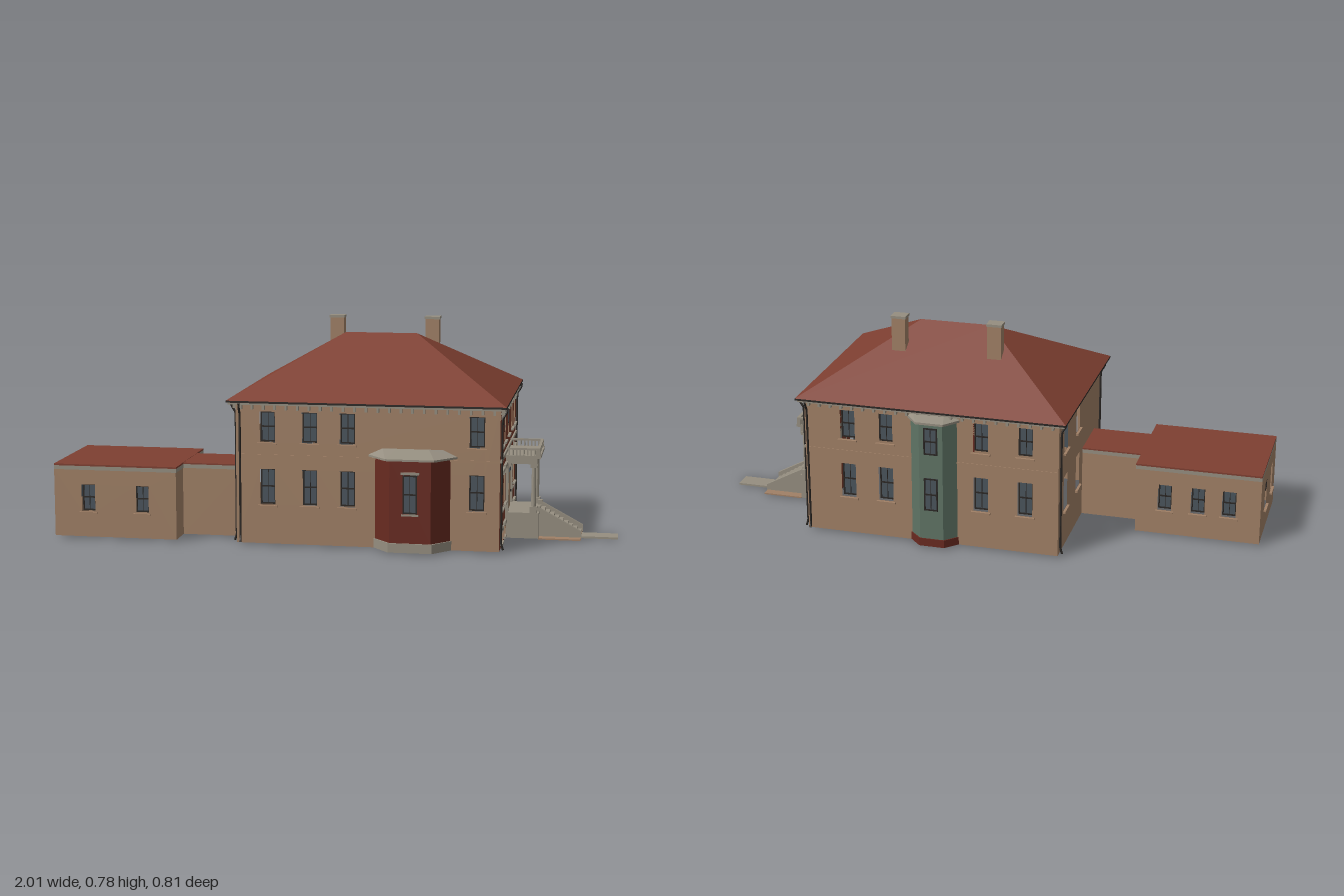
import * as THREE from 'three';

const mat = (name, color) => {
  const m = new THREE.MeshStandardMaterial({ color, side: THREE.DoubleSide, flatShading: true });
  m.name = name;
  return m;
};

export function createModel() {
  const tan = mat('tan wall', 0xa08066), brick = mat('brick red', 0x783b2b), roofRed = mat('roof red', 0x7e3f31);
  const stone = mat('grey stone', 0x958e80), bayRed = mat('dark red', 0x682a20), green = mat('green', 0x5f7465);
  const glass = mat('glass', 0x4a545c), dark = mat('dark trim', 0x2b2724);
  const model = new THREE.Group();
  model.name = 'house';

  const add = (parent, name, geo, m, x = 0, y = 0, z = 0) => {
    const mesh = new THREE.Mesh(geo, m);
    mesh.name = name;
    mesh.position.set(x, y, z);
    parent.add(mesh);
    return mesh;
  };
  // box given by its limits on each axis
  const box = (parent, name, m, x0, x1, y0, y1, z0, z1) => add(parent, name,
    new THREE.BoxGeometry(x1 - x0, y1 - y0, z1 - z0), m, (x0 + x1) / 2, (y0 + y1) / 2, (z0 + z1) / 2);

  // sash window centred on u, set at depth z in a wall's own frame
  function sashWindow(parent, u, y0, y1, w, z) {
    const g = new THREE.Group();
    g.name = 'window';
    g.position.set(u, 0, z);
    parent.add(g);
    const h = w / 2, t = 0.005, mid = (y0 + y1) / 2;
    box(g, 'glass', glass, -h, h, y0, y1, -0.002, 0);
    for (const s of [-1, 1]) box(g, 'sashSide', dark, s * (h - t / 2) - t / 2, s * (h - t / 2) + t / 2, y0, y1, 0, 0.003);
    for (const y of [y0, mid - t / 2, y1 - t]) box(g, 'sashRail', dark, -h, h, y, y + t, 0, 0.003);
    box(g, 'muntin', dark, -0.001, 0.001, y0, y1, 0, 0.002);
  }

  // flat wall with window openings; it faces +z in its own frame
  function wall(name, m, u0, u1, y0, y1, pos, turn, openings, trim = m) {
    const g = new THREE.Group();
    g.name = name;
    g.position.set(...pos);
    g.rotation.y = turn;
    model.add(g);
    const rect = (P, a, b, c, d) => new P([[a, c], [b, c], [b, d], [a, d]].map(p => new THREE.Vector2(...p)));
    const shape = rect(THREE.Shape, u0, u1, y0, y1);
    for (const [u, a, b, w = 0.054] of openings) {
      shape.holes.push(rect(THREE.Path, u - w / 2, u + w / 2, a, b));
      sashWindow(g, u, a, b, w, -0.018);
      box(g, 'sill', trim, u - w / 2 - 0.008, u + w / 2 + 0.008, a - 0.009, a - 0.002, 0, 0.009);
    }
    add(g, 'wallFace', new THREE.ShapeGeometry(shape), m);
    return g;
  }

  // main house walls, open at the bottom
  const X0 = -0.33, X1 = 0.6, Z0 = -0.348, Z1 = 0.324, B = 0.007, T = 0.51;
  const rows = (us, w) => us.flatMap(u => [[u, 0.37, 0.478, w], [u, 0.147, 0.274, w]]);
  wall('frontWall', tan, X0, X1, B, T, [0, 0, Z1], 0, rows([-0.217, -0.067, 0.067, 0.52]));
  wall('backWall', tan, -X1, -X0, B, T, [0, 0, Z0], Math.PI, rows([-0.44, -0.3, 0.05, 0.21]));
  wall('leftEndWall', tan, Z0, Z1, B, T, [X0, 0, 0], -Math.PI / 2, rows([-0.24, -0.05]));
  const sides = [-0.246, -0.135, 0.161, 0.272];
  const street = wall('entranceWall', brick, -Z1, -Z0, B, T, [X1, 0, 0], Math.PI / 2,
    [...rows(sides), [0.013, 0.37, 0.478], ...sides.map(u => [u, 0.028, 0.062, 0.046])], stone);

  // stone lintels, string course and frames on the entrance side
  const lintel = (u, y) => {
    box(street, 'lintel', stone, u - 0.041, u + 0.041, y, y + 0.012, 0, 0.009);
    for (const s of [-1, 1]) box(street, 'lintelEar', stone, u + s * 0.034 - 0.006, u + s * 0.034 + 0.006, y - 0.016, y, 0, 0.008);
  };
  [...sides, 0.013].forEach(u => lintel(u, 0.48));
  for (const u of sides) {
    lintel(u, 0.275);
    box(street, 'basementLintel', stone, u - 0.034, u + 0.034, 0.066, 0.08, 0, 0.008);
    for (const s of [-1, 1]) box(street, 'basementFrame', tan, u + s * 0.025 - 0.002, u + s * 0.025 + 0.002, 0.026, 0.066, 0, 0.005);
  }
  box(street, 'stringCourse', stone, -Z1, -Z0, 0.319, 0.33, 0, 0.006);
  for (const [z, a] of [[Z1 + 0.001, 0], [Z0 - 0.001, Math.PI]]) {
    const line = box(model, 'stringLine', tan, X0, X1, 0.319, 0.326, z - 0.001, z + 0.001);
    line.rotation.y = a;
  }

  // hipped roof, eaves and gutter
  const ex0 = -0.36, ex1 = 0.622, ez0 = -0.382, ez1 = 0.35, ey = 0.517;
  const c = [[ex0, ey, ez1], [ex1, ey, ez1], [ex1, ey, ez0], [ex0, ey, ez0], [0.005, 0.726, -0.015], [0.265, 0.726, -0.015]];
  const faces = [0, 1, 5, 0, 5, 4, 1, 2, 5, 2, 3, 4, 2, 4, 5, 3, 0, 4];
  const hip = new THREE.BufferGeometry();
  hip.setAttribute('position', new THREE.Float32BufferAttribute(faces.flatMap(i => c[i]), 3));
  hip.computeVertexNormals();
  add(model, 'hipRoof', hip, roofRed);
  box(model, 'soffit', stone, ex0 + 0.006, ex1 - 0.006, 0.503, 0.51, ez0 + 0.006, ez1 - 0.006);
  box(model, 'gutter', dark, ex0, ex1, 0.51, ey, ez0, ez1);
  // eave brackets
  for (let i = 0; i <= 22; i++) {
    const x = X0 + 0.02 + (X1 - X0 - 0.04) * i / 22;
    box(model, 'bracket', stone, x - 0.004, x + 0.004, 0.486, 0.503, Z1, Z1 + 0.015);
    box(model, 'bracket', stone, x - 0.004, x + 0.004, 0.486, 0.503, Z0 - 0.015, Z0);
  }
  for (let i = 0; i <= 16; i++) {
    const z = Z0 + 0.02 + (Z1 - Z0 - 0.04) * i / 16;
    box(model, 'bracket', stone, X1, X1 + 0.013, 0.486, 0.503, z - 0.004, z + 0.004);
    box(model, 'bracket', stone, X0 - 0.015, X0, 0.486, 0.503, z - 0.004, z + 0.004);
  }

  // downpipes; (dx, dz) points away from the wall
  for (const [x, z, dx, dz] of [[X0, 0.302, -1, 0], [X1, 0.302, 1, 0], [X1, -0.34, 1, 0], [X0, -0.33, -1, 0], [-0.315, Z1, 0, 1], [0.59, Z0, 0, -1]]) {
    const pts = [[0.022, 0.508], [0.02, 0.492], [0.006, 0.472], [0.005, 0.45], [0.005, 0.03], [0.012, 0.01]]
      .map(([d, y]) => new THREE.Vector3(x + dx * d, y, z + dz * d));
    const path = new THREE.CurvePath();
    for (let i = 1; i < pts.length; i++) path.add(new THREE.LineCurve3(pts[i - 1], pts[i]));
    add(model, 'downpipe', new THREE.TubeGeometry(path, 40, 0.004, 6), dark);
  }

  // chimneys
  for (const x of [-0.045, 0.308]) {
    box(model, 'chimney', tan, x - 0.025, x + 0.025, 0.58, 0.768, -0.153, -0.112);
    box(model, 'chimneyCap', stone, x - 0.028, x + 0.028, 0.768, 0.777, -0.156, -0.109);
  }

  // three-sided bay pieces, built outward along +z; the top can shrink
  function prism(parent, name, m, wide, narrow, depth, y0, y1, shrink = 1) {
    const s = new THREE.Shape([[-wide, 0], [-narrow, -depth], [narrow, -depth], [wide, 0]].map(p => new THREE.Vector2(...p)));
    const geo = new THREE.ExtrudeGeometry(s, { depth: y1 - y0, bevelEnabled: false }).rotateX(-Math.PI / 2);
    const p = geo.attributes.position;
    for (let i = 0; i < p.count; i++) {
      if (p.getY(i) > (y1 - y0) / 2) p.setXYZ(i, p.getX(i) * shrink, p.getY(i), p.getZ(i) * (shrink < 1 ? 0.1 : 1));
    }
    geo.computeVertexNormals();
    add(parent, name, geo, m, 0, y0, 0);
  }
  const frontBay = new THREE.Group();
  frontBay.name = 'frontBay';
  frontBay.position.set(0.297, 0, Z1);
  const backBay = new THREE.Group();
  backBay.name = 'backBay';
  backBay.position.set(0.12, 0, Z0);
  backBay.rotation.y = Math.PI;
  model.add(frontBay, backBay);
  prism(frontBay, 'bayBase', stone, 0.137, 0.077, 0.07, B, 0.04);
  prism(frontBay, 'bayBody', bayRed, 0.132, 0.072, 0.066, 0.04, 0.334);
  prism(frontBay, 'bayEave', stone, 0.155, 0.085, 0.083, 0.33, 0.337);
  prism(frontBay, 'bayRoof', stone, 0.155, 0.085, 0.083, 0.337, 0.36, 0.68);
  sashWindow(frontBay, 0, 0.145, 0.28, 0.05, 0.068);
  box(frontBay, 'bayLintel', stone, -0.032, 0.032, 0.282, 0.29, 0.066, 0.073);
  box(frontBay, 'baySill', stone, -0.03, 0.03, 0.137, 0.143, 0.066, 0.073);
  prism(backBay, 'bayBase', bayRed, 0.088, 0.046, 0.043, B, 0.036);
  prism(backBay, 'bayBody', green, 0.084, 0.043, 0.04, 0.036, 0.476);
  prism(backBay, 'bayRoof', stone, 0.095, 0.05, 0.057, 0.476, 0.484);
  prism(backBay, 'bayRoofTop', stone, 0.095, 0.05, 0.057, 0.484, 0.498, 0.8);
  sashWindow(backBay, 0, 0.36, 0.46, 0.05, 0.042);
  sashWindow(backBay, 0, 0.147, 0.27, 0.05, 0.042);

  // rear wing and its link, open at the bottom
  const WT = 0.25, low = us => us.map(u => [u, 0.1, 0.197, 0.05]);
  wall('wingFront', tan, -1, -0.55, B, WT, [0, 0, 0.325], 0, low([-0.874, -0.676]));
  wall('wingBack', tan, 0.55, 1, B, WT, [0, 0, -0.065], Math.PI, low([0.655, 0.775, 0.887]));
  wall('wingEnd', tan, -0.065, 0.325, B, WT, [-1, 0, 0], -Math.PI / 2, low([0.065, 0.225]));
  wall('wingInnerFront', tan, -0.325, -0.225, B, WT, [-0.55, 0, 0], Math.PI / 2, []);
  wall('wingInnerBack', tan, -0.03, 0.065, B, WT, [-0.55, 0, 0], Math.PI / 2, []);
  wall('linkFront', tan, -0.55, X0, B, WT, [0, 0, 0.225], 0, []);
  wall('linkBack', tan, -X0, 0.55, B, WT, [0, 0, 0.03], Math.PI, []);
  box(model, 'wingTrim', stone, -1, -0.548, WT, 0.264, -0.067, 0.327);
  box(model, 'wingRoof', roofRed, -1, -0.548, 0.264, 0.27, -0.067, 0.327);
  box(model, 'linkTrim', stone, -0.548, X0, WT, 0.264, 0.028, 0.227);
  box(model, 'linkRoof', roofRed, -0.548, X0, 0.264, 0.269, 0.028, 0.227);

  // front door
  const C = -0.013;
  box(model, 'doorFrame', stone, X1, X1 + 0.004, 0.1, 0.254, C - 0.038, C + 0.038);
  box(model, 'door', tan, X1, X1 + 0.007, 0.1, 0.25, C - 0.033, C + 0.033);
  box(model, 'transom', glass, X1, X1 + 0.009, 0.232, 0.248, C - 0.028, C + 0.028);
  box(model, 'doorHead', stone, X1, X1 + 0.014, 0.256, 0.274, C - 0.047, C + 0.047);
  box(model, 'doorHandle', dark, X1, X1 + 0.012, 0.15, 0.16, C - 0.029, C - 0.025);

  // porch
  box(model, 'porchBase', stone, X1, 0.72, B, 0.1, C - 0.1, C + 0.102);
  box(model, 'porchFrieze', stone, X1, 0.713, 0.276, 0.298, C - 0.098, C + 0.098);
  box(model, 'porchCornice', stone, X1, 0.725, 0.298, 0.308, C - 0.107, C + 0.107);
  for (const s of [-1, 1]) {
    const z = C + s * 0.088;
    add(model, 'column', new THREE.CylinderGeometry(0.0075, 0.009, 0.145, 16), stone, 0.7, 0.1925, z);
    box(model, 'columnPedestal', stone, 0.687, 0.713, 0.1, 0.122, z - 0.013, z + 0.013);
    box(model, 'columnCapital', stone, 0.688, 0.712, 0.263, 0.276, z - 0.012, z + 0.012);
    box(model, 'pilaster', stone, X1, X1 + 0.01, 0.1, 0.276, z - 0.009, z + 0.009);
    box(model, 'sideRail', stone, X1, 0.722, 0.328, 0.335, s > 0 ? z + 0.01 : z - 0.018, s > 0 ? z + 0.018 : z - 0.01);
    for (let i = 0; i < 8; i++) box(model, 'baluster', stone, 0.61 + i * 0.013, 0.615 + i * 0.013, 0.308, 0.328, z + s * 0.014 - 0.002, z + s * 0.014 + 0.002);
    box(model, 'railPost', stone, 0.708, 0.722, 0.308, 0.335, C + s * 0.1 - 0.007, C + s * 0.1 + 0.007);
  }
  box(model, 'frontRail', stone, 0.712, 0.722, 0.328, 0.335, C - 0.107, C + 0.107);
  for (let i = 0; i < 17; i++) {
    const z = C - 0.088 + i * 0.011;
    box(model, 'baluster', stone, 0.715, 0.719, 0.308, 0.328, z - 0.002, z + 0.002);
  }

  // steps, sloping cheek walls and path
  const n = 9;
  for (let i = 0; i < n; i++) {
    box(model, 'step', stone, 0.72 + i * 0.0165, 0.72 + (i + 1) * 0.0165, B, 0.1 - (i + 0.5) * 0.0098, C - 0.053, C + 0.053);
  }
  const cheek = new THREE.Shape([[0.72, B], [0.872, B], [0.872, 0.03], [0.72, 0.112]].map(p => new THREE.Vector2(...p)));
  for (const s of [-1, 1]) {
    add(model, 'cheekWall', new THREE.ExtrudeGeometry(cheek, { depth: 0.014, bevelEnabled: false }), stone, 0, 0, C + s * 0.06 - 0.007);
    box(model, 'stepPost', stone, 0.708, 0.724, 0.1, 0.118, C + s * 0.06 - 0.008, C + s * 0.06 + 0.008);
  }
  box(model, 'stepFooting', tan, 0.72, 0.87, 0.004, 0.009, C - 0.1, C + 0.1);
  box(model, 'path', stone, 0.865, 1, 0, 0.007, C - 0.034, C + 0.034);
  return model;
}
